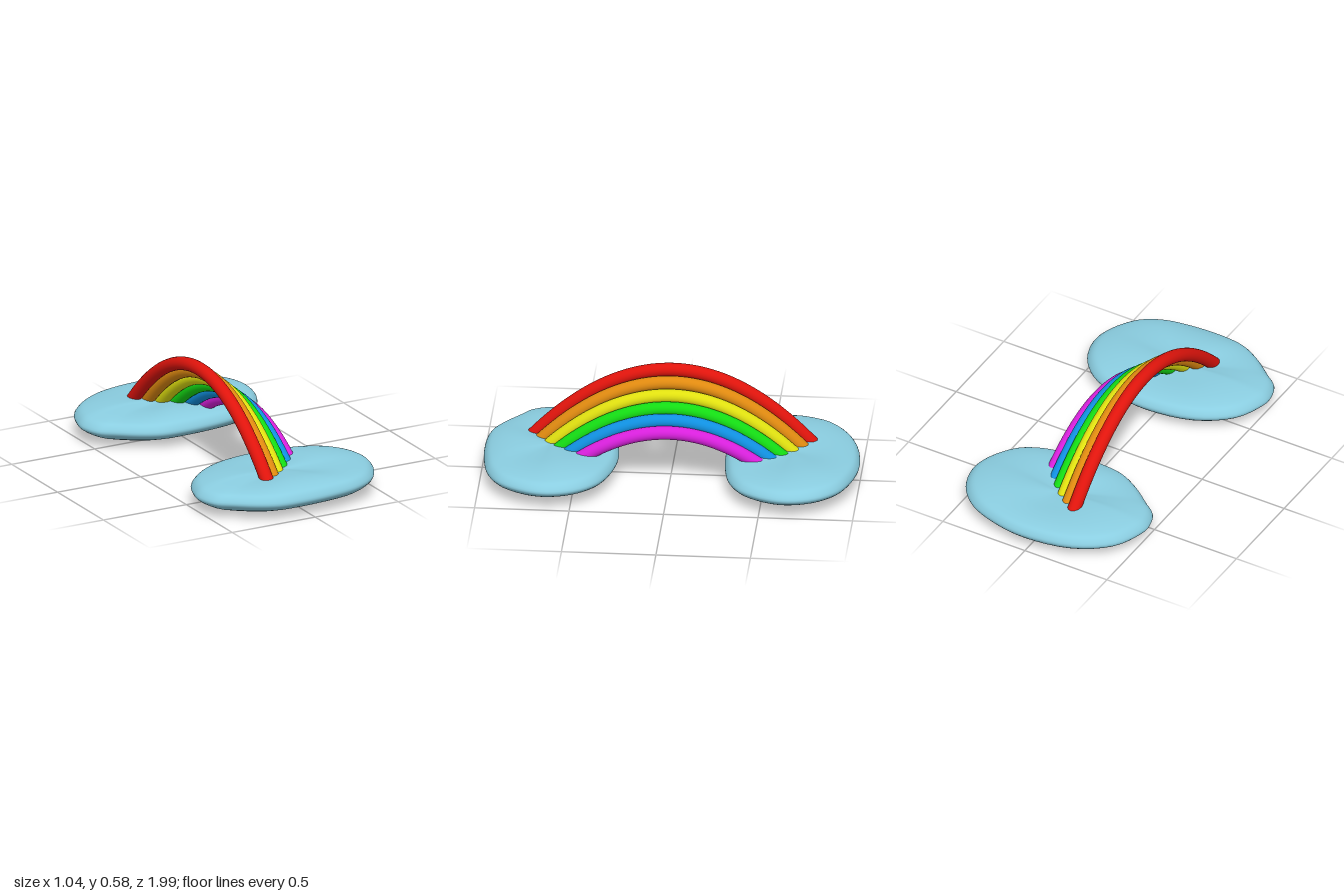
import * as THREE from 'three';
import { mergeVertices } from 'three/addons/utils/BufferGeometryUtils.js';

const V = (x, y, z) => new THREE.Vector3(x, y, z);

// Flat, lumpy cloud: a closed outline scaled ring by ring along a bottom-to-top profile
function cloudGeometry() {
  const outline = new THREE.CatmullRomCurve3([
    [0.52, -0.02], [0.48, -0.155], [0.375, -0.27], [0.215, -0.335], [0.02, -0.36], [-0.26, -0.31],
    [-0.445, -0.18], [-0.515, -0.02], [-0.52, 0.05], [-0.487, 0.145], [-0.42, 0.2], [-0.31, 0.285],
    [-0.2, 0.34], [-0.05, 0.355], [0.165, 0.34], [0.295, 0.31], [0.41, 0.24], [0.5, 0.095],
  ].map(([x, z]) => V(x, 0, z)), true);
  const profile = new THREE.CatmullRomCurve3([
    [0, 0.028], [0.3, 0.02], [0.58, 0.015], [0.8, 0.042], [0.94, 0.068], [1, 0.1],
    [0.95, 0.137], [0.84, 0.156], [0.6, 0.168], [0.3, 0.165], [0, 0.158],
  ].map(([s, y]) => V(s, y, 0)));

  const n = 72, rings = 40, pos = [], index = [];
  const rim = outline.getPoints(n);
  for (let j = 0; j <= rings; j++) {
    const p = profile.getPoint(j / rings);
    const s = j === 0 || j === rings ? 0 : p.x;
    for (let i = 0; i < n; i++) {
      const a = (i / n) * Math.PI * 2;
      const wave = 0.007 * Math.sin(Math.PI * s) * Math.sin(3 * a + 0.6) + 0.008 * s * Math.cos(a);
      pos.push(rim[i].x * s, Math.max(0, p.y + wave), rim[i].z * s);
      if (j < rings) {
        const k = (i + 1) % n, r = j * n;
        index.push(r + i, r + k, r + n + k, r + i, r + n + k, r + n + i);
      }
    }
  }
  let g = new THREE.BufferGeometry();
  g.setAttribute('position', new THREE.Float32BufferAttribute(pos, 3));
  g.setIndex(index);
  g = mergeVertices(g, 1e-5);
  g.computeVertexNormals();
  return g;
}

// Parabolic arch whose feet are buried in the clouds
function archGeometry(x, top, radius) {
  const drop = 0.74, foot = 0.09, peak = top - radius;
  const reach = Math.sqrt((peak - foot) / drop);
  const path = new THREE.QuadraticBezierCurve3(
    V(x, foot, reach), V(x, 2 * peak - foot, 0), V(x, foot, -reach));
  return new THREE.TubeGeometry(path, 64, radius, 24, false);
}

export function createModel() {
  const model = new THREE.Group();
  model.name = 'rainbowWithClouds';

  // Clouds
  const cloudMaterial = new THREE.MeshStandardMaterial({ color: 0x8acde0 });
  const cloud = cloudGeometry();
  for (const [name, z] of [['frontCloud', 0.635], ['backCloud', -0.64]]) {
    const mesh = new THREE.Mesh(cloud, cloudMaterial);
    mesh.name = name;
    mesh.position.z = z;
    model.add(mesh);
  }

  // Rainbow bands, stepping down from the model's right to its left
  const bands = [
    ['redBand', 0xe0140c, -0.142, 0.58],
    ['orangeBand', 0xe08a10, -0.085, 0.53],
    ['yellowBand', 0xe0e010, -0.029, 0.48],
    ['greenBand', 0x14dc14, 0.026, 0.432],
    ['blueBand', 0x1090e0, 0.08, 0.387],
    ['violetBand', 0xd820dc, 0.132, 0.34],
  ];
  const rainbow = new THREE.Group();
  rainbow.name = 'rainbow';
  for (const [name, color, x, top] of bands) {
    const material = new THREE.MeshStandardMaterial({ color, side: THREE.DoubleSide });
    const band = new THREE.Mesh(archGeometry(x, top, 0.036), material);
    band.name = name;
    rainbow.add(band);
  }
  model.add(rainbow);
  return model;
}
